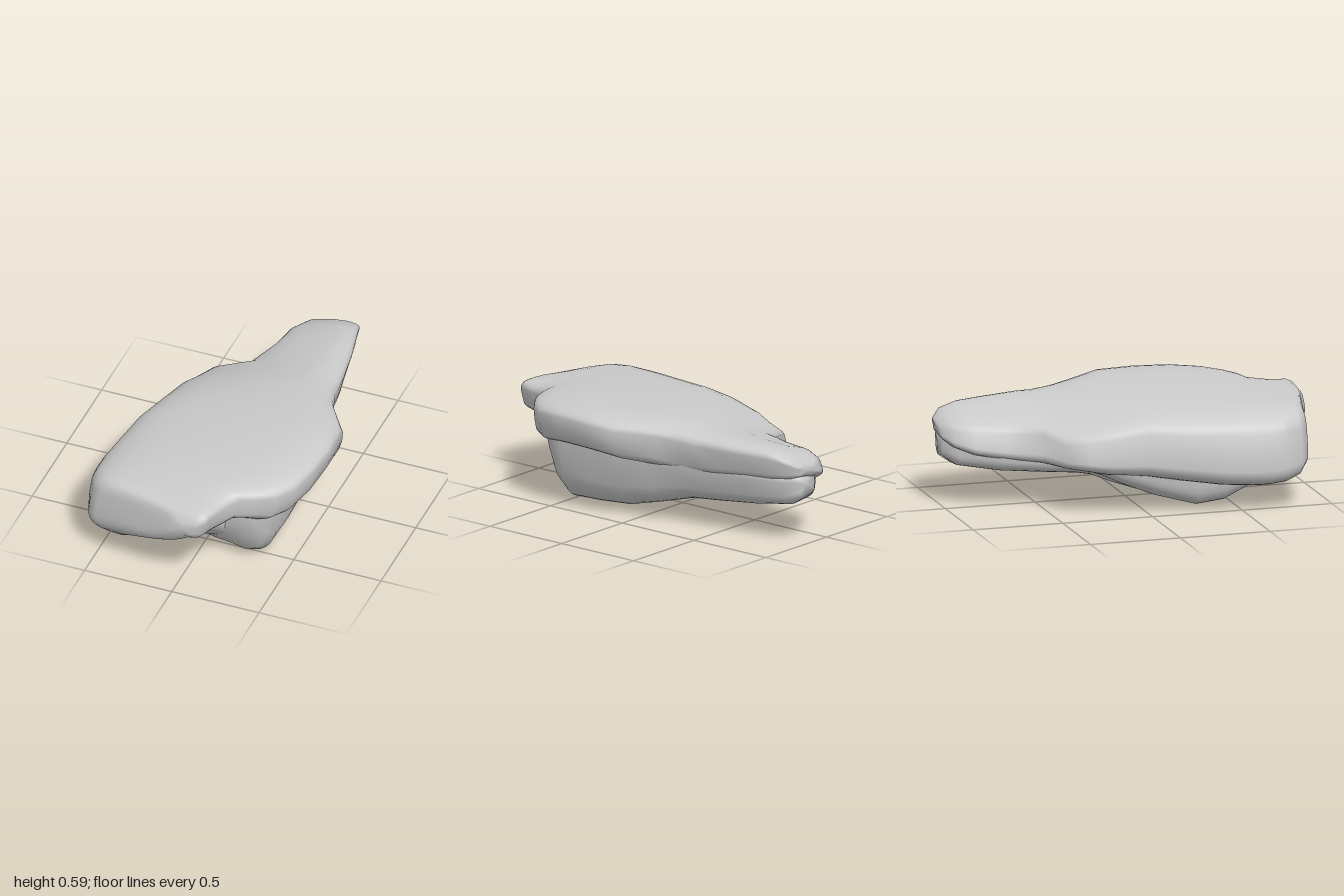
import * as THREE from 'three';

const RING = 32;
const { lerp, smoothstep } = THREE.MathUtils;

// Rounded-box cross-section: the top falls off to the left, the underside steps
// from botL to botR, lean shears the top sideways, taper narrows the foot
function ring([z, xl, xr, topL, top, botL, botR], { power, lean, taper, rough }) {
  const pts = [];
  for (let j = 0; j < RING; j++) {
    const t = (j / RING) * Math.PI * 2;
    const c = Math.sign(Math.cos(t)) * Math.abs(Math.cos(t)) ** power;
    const s = Math.sign(Math.sin(t)) * Math.abs(Math.sin(t)) ** power;
    const bottom = lerp(botL, botR, smoothstep(c, -0.25, 0.5));
    const crown = lerp(topL, top, smoothstep(c, -1.2, 0.5));
    const width = 1 - (taper * (1 - s)) / 2;
    const lump = rough * Math.sin(9 * z + 7 * c) * Math.cos(3 * s - 6 * z);
    pts.push([
      (xl + xr) / 2 + ((xr - xl) / 2) * c * width + lean * s + lump * c,
      (crown + bottom) / 2 + ((crown - bottom) / 2) * s,
      z,
    ]);
  }
  return pts;
}

// Loft between stations ordered from back to front, with closed ends
function loft(name, stations, options) {
  const rings = stations.map((s) => ring(s, options));
  const pos = rings.flat(2);
  const index = [];
  for (let i = 0; i < rings.length - 1; i++) {
    for (let j = 0; j < RING; j++) {
      const a = i * RING + j, b = i * RING + ((j + 1) % RING);
      index.push(a, b, b + RING, a, b + RING, a + RING);
    }
  }
  [0, rings.length - 1].forEach((i) => {
    const centre = pos.length / 3;
    pos.push(...[0, 1, 2].map((n) => rings[i].reduce((sum, p) => sum + p[n], 0) / RING));
    for (let j = 0; j < RING; j++) {
      const a = i * RING + j, b = i * RING + ((j + 1) % RING);
      index.push(centre, ...(i === 0 ? [b, a] : [a, b]));
    }
  });
  const geo = new THREE.BufferGeometry();
  geo.setAttribute('position', new THREE.Float32BufferAttribute(pos, 3));
  geo.setIndex(index);
  geo.computeVertexNormals();
  const mesh = new THREE.Mesh(geo, new THREE.MeshStandardMaterial({ color: 0xcccccc }));
  mesh.name = name;
  return mesh;
}

export function createModel() {
  const group = new THREE.Group();
  group.name = 'rock';

  // Broad top slab: narrow tail, overhanging shelf on one side, deep blunt nose on the other
  // station: z, xMin, xMax, top at xMin, top, bottom at xMin, bottom at xMax
  group.add(loft('topSlab', [
    [-1.0, 0.07, 0.23, 0.43, 0.45, 0.37, 0.38],
    [-0.95, -0.02, 0.29, 0.45, 0.495, 0.33, 0.36],
    [-0.85, -0.08, 0.315, 0.46, 0.525, 0.29, 0.34],
    [-0.7, -0.11, 0.345, 0.46, 0.535, 0.26, 0.33],
    [-0.5, -0.18, 0.38, 0.46, 0.545, 0.24, 0.31],
    [-0.42, -0.36, 0.39, 0.43, 0.55, 0.24, 0.3],
    [-0.31, -0.4, 0.4, 0.45, 0.565, 0.22, 0.29],
    [-0.2, -0.44, 0.44, 0.48, 0.58, 0.2, 0.3],
    [0.0, -0.475, 0.575, 0.53, 0.592, 0.18, 0.335],
    [0.2, -0.535, 0.58, 0.53, 0.598, 0.15, 0.345],
    [0.4, -0.565, 0.565, 0.53, 0.595, 0.12, 0.345],
    [0.56, -0.585, 0.52, 0.53, 0.585, 0.11, 0.32],
    [0.65, -0.585, 0.455, 0.53, 0.575, 0.11, 0.32],
    [0.71, -0.58, 0.38, 0.53, 0.565, 0.12, 0.36],
    [0.74, -0.575, 0.28, 0.53, 0.56, 0.125, 0.35],
    [0.82, -0.54, 0.23, 0.53, 0.555, 0.15, 0.34],
    [0.87, -0.48, 0.21, 0.52, 0.55, 0.2, 0.35],
    [0.94, -0.18, 0.185, 0.52, 0.545, 0.28, 0.36],
    [0.97, -0.07, 0.175, 0.51, 0.53, 0.33, 0.37],
    [1.0, 0.0, 0.13, 0.48, 0.49, 0.39, 0.4],
  ], { power: 0.47, lean: 0.025, taper: 0, rough: 0.004 }));

  // Left foot running back as a flat-bottomed ridge under the tail
  group.add(loft('footAndTailRidge', [
    [-0.99, 0.08, 0.22, 0.4, 0.38, 0.27, 0.26],
    [-0.92, -0.02, 0.28, 0.42, 0.4, 0.22, 0.21],
    [-0.7, -0.13, 0.325, 0.42, 0.42, 0.19, 0.17],
    [-0.45, -0.19, 0.37, 0.42, 0.42, 0.17, 0.145],
    [-0.28, -0.17, 0.39, 0.44, 0.44, 0.15, 0.13],
    [-0.1, -0.09, 0.43, 0.45, 0.45, 0.1, 0.085],
    [0.1, -0.05, 0.445, 0.48, 0.48, 0.06, 0.035],
    [0.3, -0.06, 0.445, 0.5, 0.5, 0.06, 0.015],
    [0.5, -0.06, 0.435, 0.5, 0.5, 0.06, 0.005],
    [0.58, -0.06, 0.415, 0.52, 0.52, 0.09, 0.06],
    [0.63, -0.05, 0.39, 0.52, 0.52, 0.16, 0.16],
    [0.68, -0.04, 0.36, 0.52, 0.52, 0.24, 0.28],
  ], { power: 0.55, lean: 0.01, taper: 0.2, rough: 0.005 }));

  // Right foot, lower and broader
  group.add(loft('rightFoot', [
    [-0.25, -0.28, 0.1, 0.36, 0.36, 0.2, 0.16],
    [-0.1, -0.36, 0.08, 0.38, 0.38, 0.13, 0.1],
    [0.08, -0.41, 0.07, 0.4, 0.4, 0.06, 0.04],
    [0.3, -0.44, 0.06, 0.4, 0.4, 0.0, 0.02],
    [0.45, -0.45, 0.05, 0.4, 0.4, 0.02, 0.02],
    [0.6, -0.4, 0.05, 0.38, 0.38, 0.08, 0.08],
    [0.7, -0.3, 0.02, 0.36, 0.36, 0.15, 0.16],
  ], { power: 0.5, lean: 0, taper: 0.2, rough: 0.004 }));

  // Core joining both feet to the underside of the slab and the nose
  group.add(loft('belly', [
    [-0.3, -0.3, 0.3, 0.4, 0.4, 0.2, 0.18],
    [0.0, -0.35, 0.38, 0.45, 0.45, 0.1, 0.1],
    [0.5, -0.35, 0.36, 0.45, 0.45, 0.08, 0.08],
    [0.62, -0.32, 0.26, 0.45, 0.45, 0.11, 0.14],
    [0.72, -0.32, 0.16, 0.46, 0.46, 0.14, 0.23],
    [0.82, -0.32, 0.12, 0.48, 0.48, 0.2, 0.32],
  ], { power: 0.6, lean: 0, taper: 0.1, rough: 0 }));

  return group;
}
